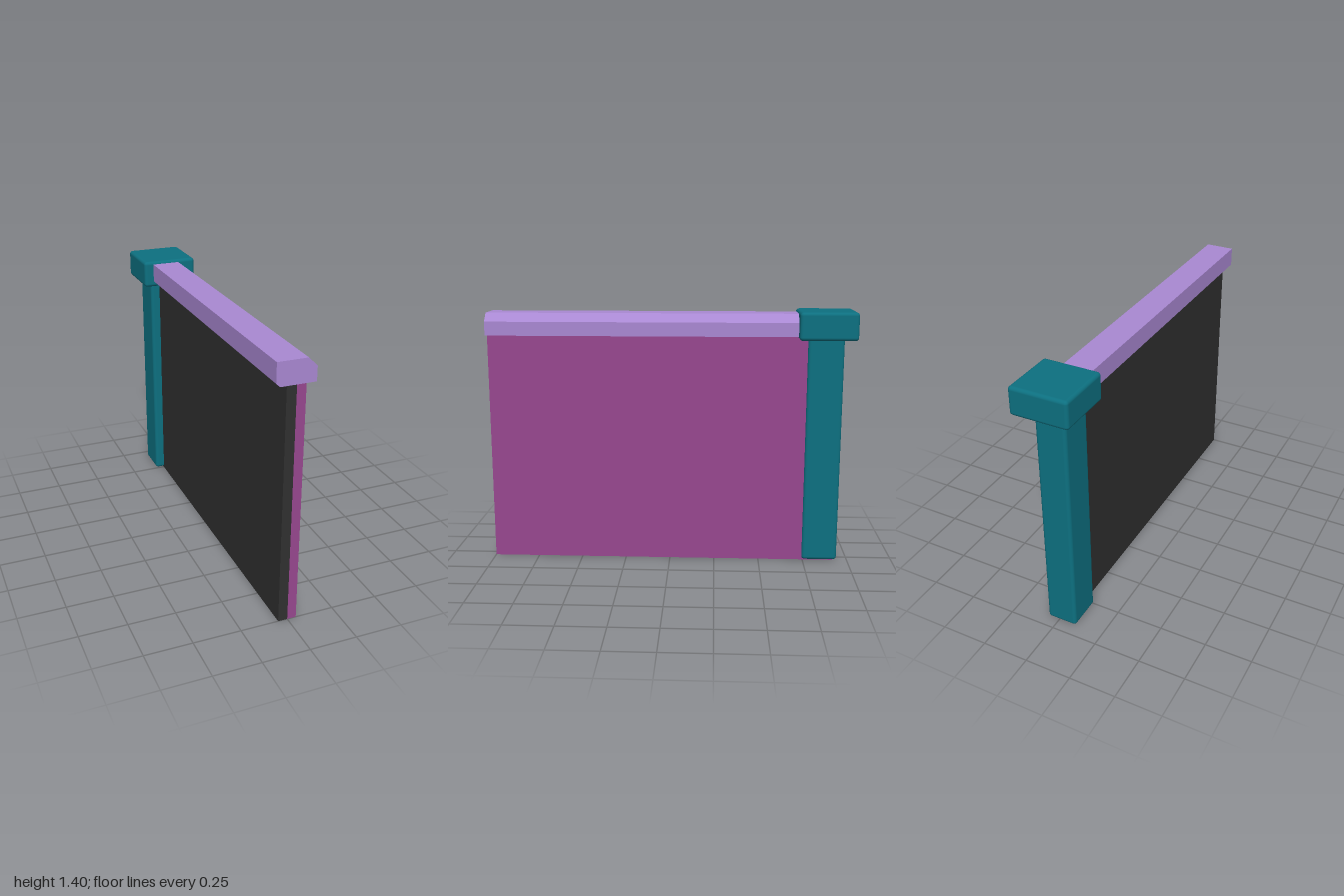
import * as THREE from 'three';
import { RoundedBoxGeometry } from 'three/addons/geometries/RoundedBoxGeometry.js';

const material = (color) => new THREE.MeshStandardMaterial({ color });

// Mesh filling the span min..max on each axis, with rounded edges if radius is given
function block(name, mat, [x0, x1], [y0, y1], [z0, z1], radius = 0) {
  const size = [x1 - x0, y1 - y0, z1 - z0];
  const geometry = radius
    ? new RoundedBoxGeometry(...size, 3, radius)
    : new THREE.BoxGeometry(...size);
  const mesh = new THREE.Mesh(geometry, mat);
  mesh.name = name;
  mesh.position.set((x0 + x1) / 2, (y0 + y1) / 2, (z0 + z1) / 2);
  return mesh;
}

export function createModel() {
  const group = new THREE.Group();
  group.name = 'wallWithEndPost';

  const teal = material(0x0d7080);
  const lilac = material(0xa988d2);

  // Two wall skins, back to back, running into the post
  group.add(block('innerWallPanel', material(0x303030), [-0.05, 0], [0, 1.265], [-0.92, 1]));
  group.add(block('outerWallPanel', material(0x97478f), [0, 0.047], [0, 1.265], [-0.92, 1]));

  // End post and its cap, with softened edges
  group.add(block('post', teal, [-0.102, 0.062], [0.004, 1.28], [-0.94, -0.745], 0.018));
  group.add(block('postCap', teal, [-0.155, 0.155], [1.25, 1.4], [-1, -0.69], 0.018));

  // Top rail: chamfered profile extruded along the wall into the cap
  const profile = new THREE.Shape([
    [-0.083, 1.265], [0.098, 1.265], [0.098, 1.34], [0.053, 1.385],
    [-0.102, 1.385], [-0.102, 1.284],
  ].map(([x, y]) => new THREE.Vector2(x, y)));
  const rail = new THREE.Mesh(
    new THREE.ExtrudeGeometry(profile, { depth: 1.8, bevelEnabled: false }), lilac);
  rail.name = 'topRail';
  rail.position.z = -0.8;
  group.add(rail);

  return group;
}
